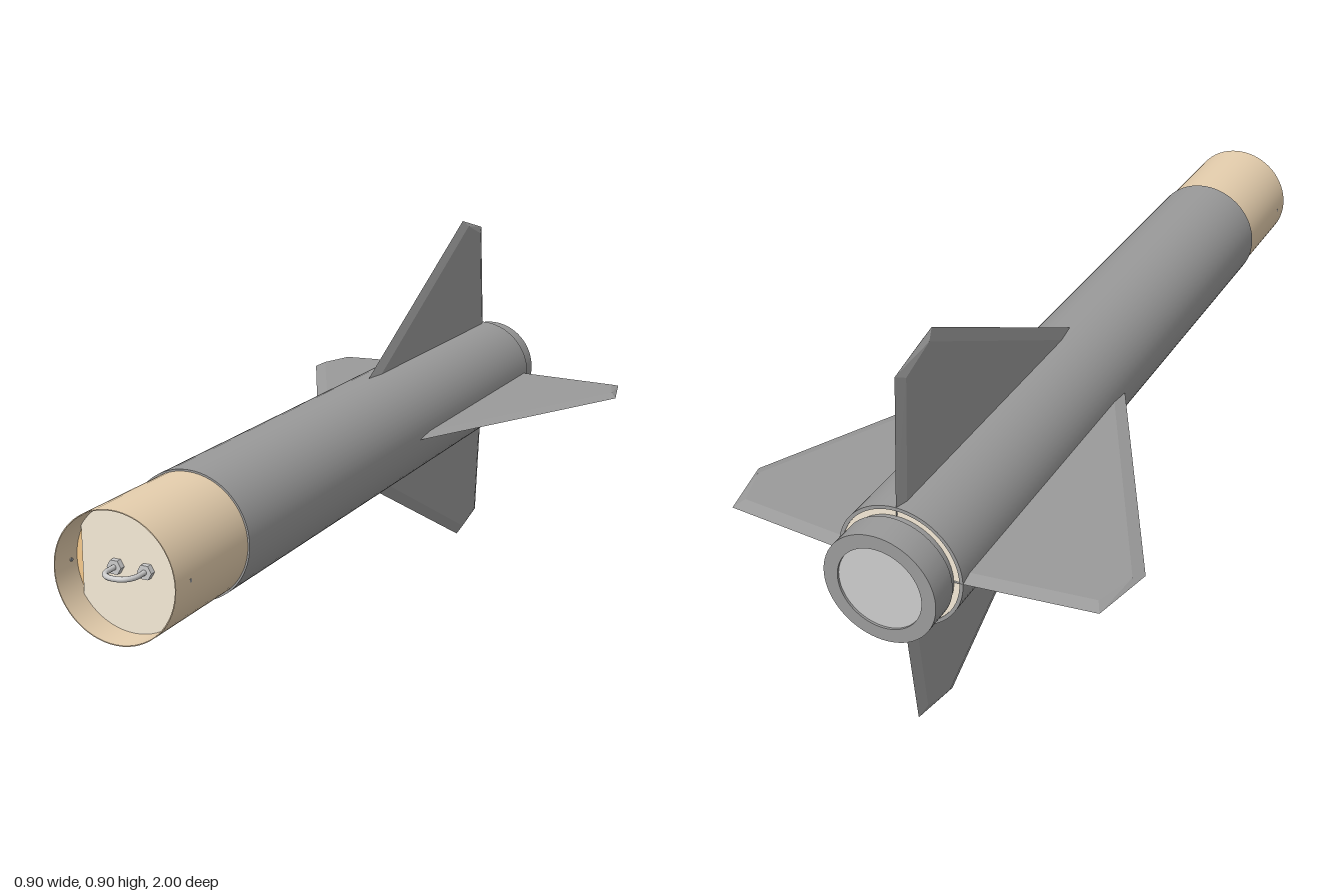
import * as THREE from 'three';
import { toCreasedNormals } from 'three/addons/utils/BufferGeometryUtils.js';
import { ConvexGeometry } from 'three/addons/geometries/ConvexGeometry.js';

const grey = new THREE.MeshStandardMaterial({ color: 0xcccccc });
const darkGrey = new THREE.MeshStandardMaterial({ color: 0x9a9a9a });
const tan = new THREE.MeshStandardMaterial({ color: 0xe6cfae });
const cream = new THREE.MeshStandardMaterial({ color: 0xf5ead6 });
const wood = new THREE.MeshStandardMaterial({ color: 0xf5c98c });

const AXIS_Y = 0.448;
const BODY_R = 0.139;
const COUPLER_IN = 0.133;
const PLATE_Z = 0.93;

function add(parent, name, geometry, material) {
  const mesh = new THREE.Mesh(geometry, material);
  mesh.name = name;
  parent.add(mesh);
  return mesh;
}

// Solid of revolution about z from counter-clockwise [radius, z] pairs
function turned(profile, segments = 64) {
  const points = profile.map(([r, z]) => new THREE.Vector2(r, z));
  const geometry = new THREE.LatheGeometry(points, segments);
  geometry.rotateX(Math.PI / 2);
  return toCreasedNormals(geometry, 0.5);
}

function pipe(outer, inner, back, front) {
  return turned([[inner, back], [outer, back], [outer, front], [inner, front], [inner, back]]);
}

function disc(radius, back, front) {
  return turned([[0, back], [radius, back], [radius, front], [0, front]]);
}

// Flat fin with bevelled leading, tip and trailing edges
function finGeometry() {
  const half = 0.008;
  const edge = [[0.12, -0.105], [0.448, -0.75], [0.414, -0.892], [0.12, -0.922]];
  const face = [[0.12, -0.165], [0.431, -0.775], [0.4, -0.865], [0.12, -0.893]];
  const points = edge.map(([r, z]) => new THREE.Vector3(r, 0, z));
  for (const [r, z] of face) {
    points.push(new THREE.Vector3(r, half, z), new THREE.Vector3(r, -half, z));
  }
  return new ConvexGeometry(points);
}

// Round bulkhead plate with two straight sides
function bulkheadGeometry() {
  const a = Math.acos(0.113 / COUPLER_IN);
  const shape = new THREE.Shape();
  shape.absarc(0, 0, COUPLER_IN, a, Math.PI - a, false);
  shape.absarc(0, 0, COUPLER_IN, Math.PI + a, 2 * Math.PI - a, false);
  shape.closePath();
  const geometry = new THREE.ExtrudeGeometry(shape, { depth: 0.02, bevelEnabled: false, curveSegments: 32 });
  geometry.translate(0, 0, PLATE_Z - 0.02);
  return geometry;
}

export function createModel() {
  const model = new THREE.Group();
  model.name = 'rocketBooster';
  const rocket = new THREE.Group();
  rocket.name = 'airframe';
  rocket.position.y = AXIS_Y;
  model.add(rocket);

  // Tubes
  add(rocket, 'bodyTube', pipe(BODY_R, 0.131, -0.92, 0.72), darkGrey);
  add(rocket, 'couplerTube', pipe(0.135, COUPLER_IN, 0.4, 0.994), tan);

  // Bulkhead with the wooden backing disc showing beside it
  add(rocket, 'bulkhead', bulkheadGeometry(), cream);
  add(rocket, 'bulkheadBacking', disc(COUPLER_IN, 0.895, 0.92), wood);

  // U-bolt with an arched top, and its nuts
  const bolt = new THREE.Group();
  bolt.name = 'uBolt';
  rocket.add(bolt);
  const x = 0.034;
  const top = 0.9945;
  const bend = 0.03;
  const path = new THREE.CurvePath();
  const v = (px, pz) => new THREE.Vector3(px, 0, pz);
  path.add(new THREE.LineCurve3(v(-x, PLATE_Z - 0.01), v(-x, top - bend)));
  path.add(new THREE.QuadraticBezierCurve3(v(-x, top - bend), v(-x * 0.85, top), v(0, top)));
  path.add(new THREE.QuadraticBezierCurve3(v(0, top), v(x * 0.85, top), v(x, top - bend)));
  path.add(new THREE.LineCurve3(v(x, top - bend), v(x, PLATE_Z - 0.01)));
  add(bolt, 'boltRod', new THREE.TubeGeometry(path, 64, 0.0055, 12), grey);
  for (const side of [-1, 1]) {
    const hex = new THREE.CylinderGeometry(0.016, 0.016, 0.012, 6);
    hex.rotateY(Math.PI / 6).rotateX(Math.PI / 2);
    const nut = add(bolt, 'hexNut', toCreasedNormals(hex, 0.5), grey);
    nut.position.set(side * x, 0, PLATE_Z + 0.006);

    // Small pins through the coupler wall
    const pin = new THREE.CylinderGeometry(0.004, 0.004, 0.005, 12).rotateZ(Math.PI / 2);
    add(rocket, 'couplerPin', pin, darkGrey).position.set(side * 0.133, 0, 0.94);
  }

  // Four fins around the tail
  const fin = finGeometry();
  for (let i = 0; i < 4; i++) {
    add(rocket, 'fin', fin, darkGrey).rotation.z = i * Math.PI / 2;
  }

  // Tail: centring ring, motor retainer and motor closure
  add(rocket, 'centringRing', pipe(0.131, 0.08, -0.918, -0.89), cream);
  add(rocket, 'motorRetainer', turned([
    [0.093, -1], [0.124, -1], [0.124, -0.934],
    [0.118, -0.934], [0.118, -0.91], [0.093, -0.91], [0.093, -1],
  ]), darkGrey);
  add(rocket, 'motorClosure', disc(0.094, -0.995, -0.91), grey);

  return model;
}
